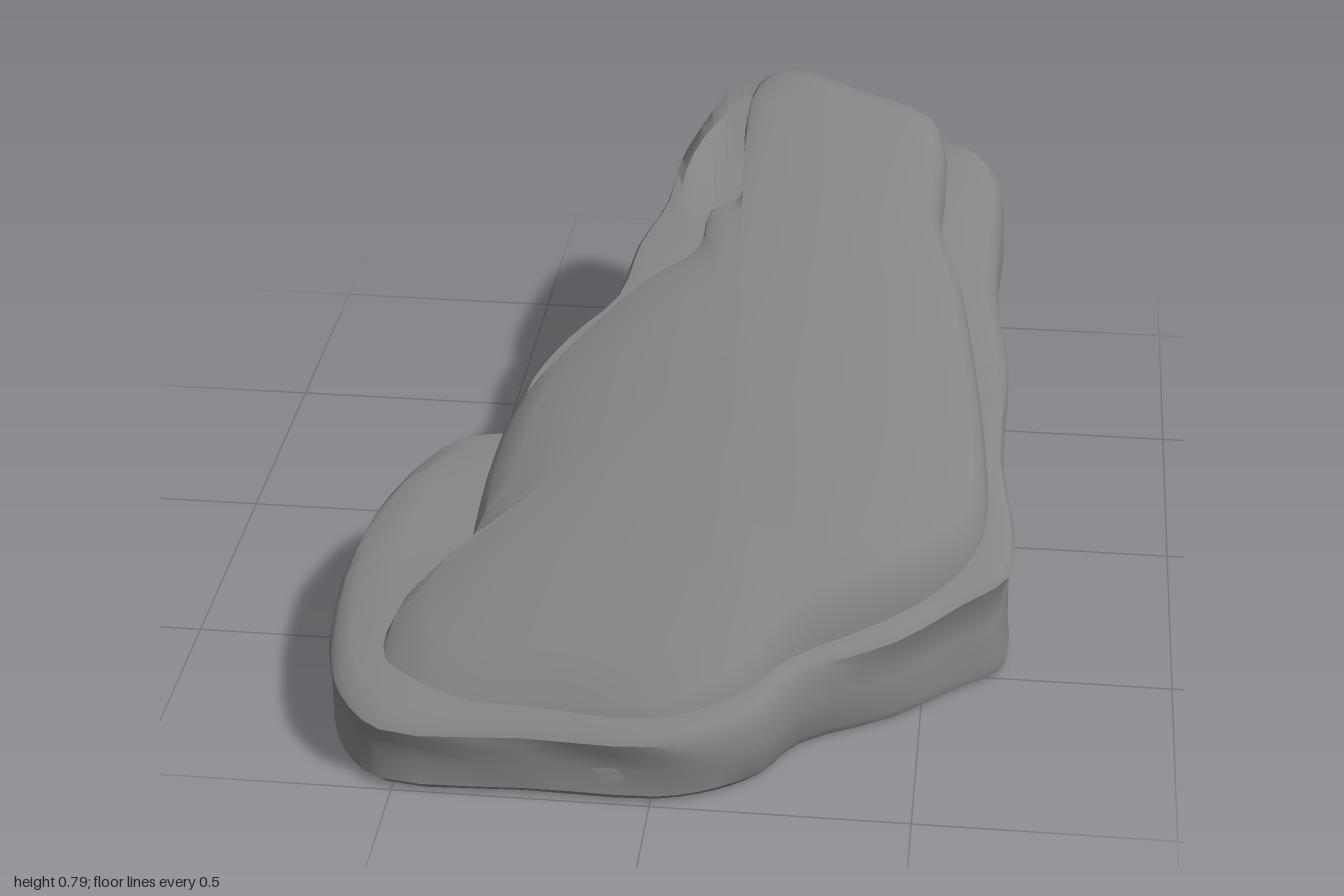
import * as THREE from 'three';
import { toCreasedNormals } from 'three/addons/utils/BufferGeometryUtils.js';

const { smoothstep, clamp } = THREE.MathUtils;
const material = new THREE.MeshStandardMaterial({ color: 0x848484 });

// Lofts a rock layer: every level scales the plan outline about a centre and sets
// its height by a rule. Levels run from the middle of the underside to the middle of the top.
function rockLayer(name, outline, [cx, cz], levels, warp = (p) => p) {
  const curve = new THREE.CatmullRomCurve3(
    outline.map(([x, z]) => new THREE.Vector3(x, 0, z)), true, 'centripetal');
  const n = outline.length * 3;
  const ring = curve.getPoints(n).slice(0, n);
  const positions = [], index = [];
  levels.forEach(([scale, height], l) => {
    ring.forEach((p) => {
      const x = cx + (p.x - cx) * scale, z = cz + (p.z - cz) * scale;
      const v = warp(new THREE.Vector3(x, height(x, z), z), l);
      positions.push(v.x, v.y, v.z);
    });
    if (l === 0) return;
    for (let i = 0; i < n; i++) {
      const a = (l - 1) * n + i, b = (l - 1) * n + (i + 1) % n;
      index.push(a, a + n, b + n, a, b + n, b);
    }
  });
  const geometry = new THREE.BufferGeometry();
  geometry.setAttribute('position', new THREE.Float32BufferAttribute(positions, 3));
  geometry.setIndex(index);
  const mesh = new THREE.Mesh(toCreasedNormals(geometry, 0.6), material);
  mesh.name = name;
  return mesh;
}

// Ledge surface: slopes to the front, levels off at the back, falls away at both sides
const ledge = (x, z) => Math.min(
  0.41 - 0.32 * z + 0.055 * smoothstep(z, 0.5, 1),
  0.605 - 0.1 * (z + 0.6),
  x < -0.42 ? 0.36 + 0.4 * (x + 0.42) : 0.39 + 0.65 * (x + 0.42),
) - 0.5 * Math.max(0, x - 0.53) * smoothstep(-z, -0.2, 0.5);

// Crowned top of the slab; it flattens and its rim softens towards the front
const crown = (x, z) => 0.57 - 0.335 * z - 0.15 * Math.max(0, z - 0.6)
  - 0.3 * (x - 0.1) ** 2 * (1 - 0.6 * smoothstep(z, 0.3, 0.8));
const rim = (d) => (x, z) => crown(x, z) - d * (1 + smoothstep(z, 0.2, 0.7));
const part = (f, surface) => (x, z) => f * surface(x, z);
const lower = (d, surface) => (x, z) => Math.max(0.03, surface(x, z) - d);

export function createModel() {
  const group = new THREE.Group();
  group.name = 'rock';

  // Lower body with the side ledges, front left lobe and overhanging back point
  const bodyOutline = [
    [0.03, -1], [0.1, -0.97], [0.2, -0.9], [0.3, -0.83], [0.54, -0.74], [0.6, -0.68],
    [0.61, -0.5], [0.61, -0.3], [0.64, -0.1], [0.64, 0.2], [0.67, 0.38], [0.66, 0.48],
    [0.57, 0.56], [0.45, 0.67], [0.27, 0.78], [0.2, 0.89], [0.12, 0.95], [0.01, 0.99],
    [-0.25, 0.99], [-0.52, 0.99], [-0.61, 0.91], [-0.65, 0.8], [-0.67, 0.6], [-0.64, 0.43],
    [-0.55, 0.25], [-0.42, 0.22], [-0.38, 0.06], [-0.32, -0.06], [-0.22, -0.2],
    [-0.19, -0.36], [-0.14, -0.5], [-0.13, -0.68], [-0.08, -0.88], [-0.03, -0.98],
  ];
  const backReach = [0.55, 0.55, 0.62, 0.73, 0.79, 0.95, 1, 1, 1, 1, 1];
  const cornerCut = [0.1, 0.1, 0.07, 0.01, 0, 0, 0, 0, 0, 0, 0];
  const bulge = [0, 0, 0.004, 0.016, 0.014, 0, 0, 0, 0, 0, 0];
  group.add(rockLayer('lowerBody', bodyOutline, [0.05, 0.15], [
    [0.001, () => 0], [0.985, () => 0.003], [1, part(0.12, ledge)], [0.99, part(0.45, ledge)],
    [0.995, part(0.7, ledge)], [1, part(0.9, ledge)], [0.985, part(0.97, ledge)],
    [0.95, part(1.01, ledge)], [0.85, part(1.02, ledge)], [0.4, ledge], [0.001, ledge],
  ], (v, l) => {
    // Undercut the back and its left corner, and weather the walls
    const corner = cornerCut[l] * smoothstep(v.x, 0.2, 0.6) * smoothstep(-v.z, 0.2, 0.65);
    if (v.z < -0.5) v.z = -0.5 + (v.z + 0.5) * backReach[l];
    const wave = Math.sin(v.x * 17 + v.z * 13) * bulge[l];
    v.x += wave - corner;
    v.z += wave * 0.5 + corner * 0.4;
    return v;
  }));

  // Tilted upper slab
  const slabOutline = [
    [0.05, -0.7], [0.11, -0.745], [0.28, -0.7], [0.45, -0.65], [0.48, -0.55], [0.48, -0.35],
    [0.53, -0.2], [0.57, 0], [0.6, 0.2], [0.61, 0.42], [0.54, 0.54], [0.42, 0.65],
    [0.25, 0.77], [0.17, 0.88], [0.01, 0.98], [-0.25, 0.98], [-0.5, 0.975], [-0.58, 0.88],
    [-0.56, 0.74], [-0.44, 0.6], [-0.42, 0.38], [-0.38, 0.2], [-0.25, 0.02], [-0.14, -0.1],
    [-0.04, -0.18], [-0.02, -0.3], [0.04, -0.34], [0.03, -0.55],
  ];
  group.add(rockLayer('upperSlab', slabOutline, [0.08, 0.15], [
    [0.001, lower(0.1, ledge)], [1, lower(0.1, ledge)],
    [1, rim(0.07)], [0.975, rim(0.03)], [0.93, rim(0.01)],
    [0.83, rim(0.002)], [0.6, crown], [0.3, crown], [0.001, crown],
  ]));

  // Small step beside the slab on the right
  const step = (x, z) => 0.52 - 0.27 * z;
  group.add(rockLayer('sideStep', [
    [0.1, -0.36], [0.15, -0.1], [-0.1, -0.03], [-0.15, -0.1], [-0.09, -0.22], [-0.05, -0.34],
  ], [0.03, -0.2], [
    [0.001, lower(0.15, ledge)], [1.05, lower(0.15, ledge)], [1, lower(0.04, step)],
    [0.9, step], [0.001, step],
  ]));

  // Low foot bulging out along the back, furthest at the right
  const foot = (x) => 0.26 + 0.3 * clamp(x + 0.17, 0, 0.15);
  group.add(rockLayer('backFoot', [
    [-0.13, -0.86], [0, -0.84], [0.2, -0.785], [0.36, -0.735], [0.47, -0.67], [0.48, -0.45],
    [0.2, -0.35], [-0.03, -0.3], [-0.18, -0.37], [-0.215, -0.53], [-0.24, -0.66],
    [-0.235, -0.8], [-0.19, -0.86],
  ], [0.04, -0.58], [
    [0.001, () => 0.001], [0.94, () => 0.001], [0.98, part(0.18, foot)], [1, part(0.6, foot)],
    [0.97, part(0.85, foot)], [0.88, foot], [0.7, part(1.2, foot)], [0.001, part(1.4, foot)],
  ]));

  return group;
}
